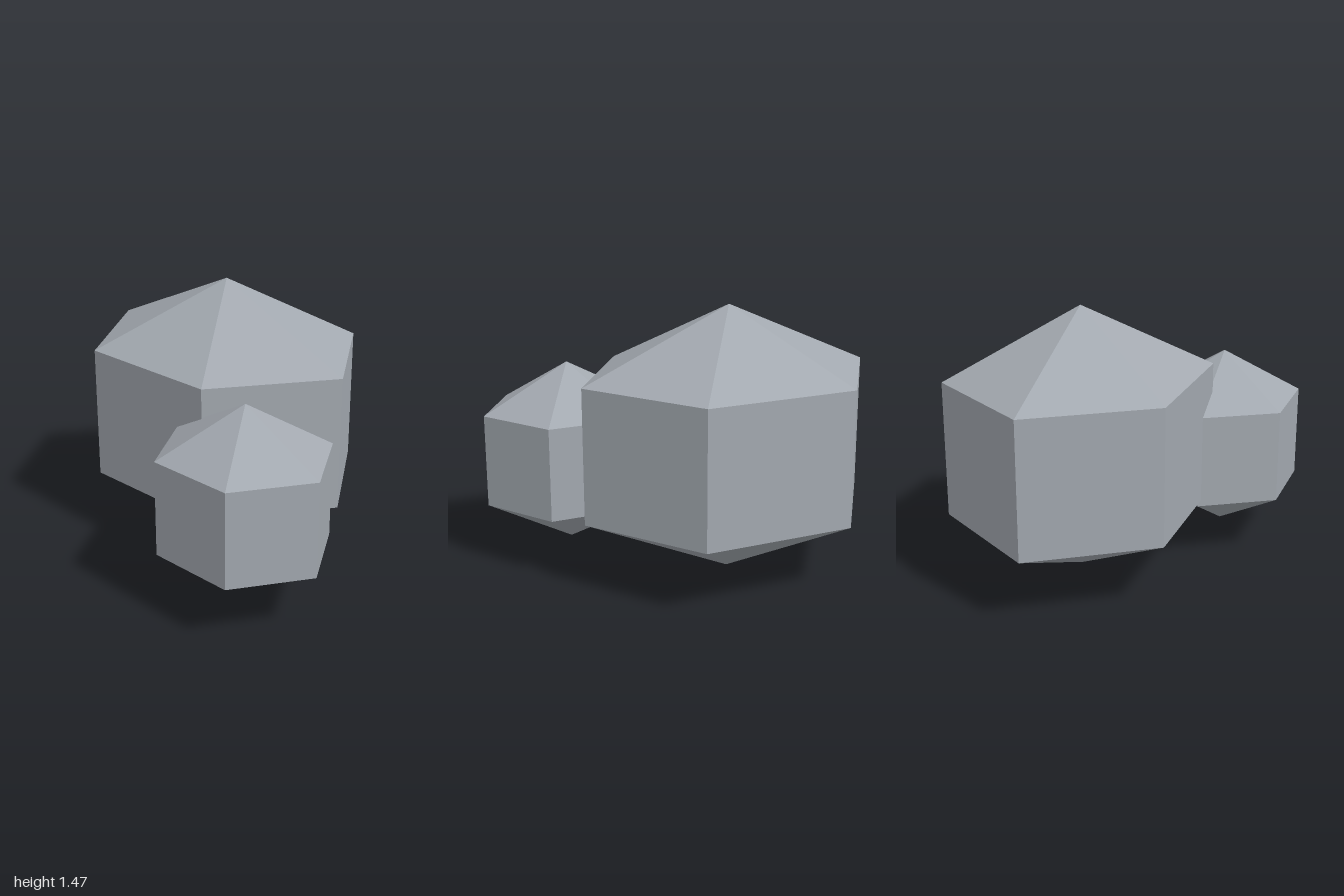
import * as THREE from 'three';

const crystalGrey = new THREE.MeshStandardMaterial({ color: 0xa3a9b0, flatShading: true });
crystalGrey.name = 'crystalGrey';

// Six-sided crystal with a pointed top and bottom; y holds the four profile heights
function crystal(name, x, z, halfWidth, halfDepth, y) {
  const profile = [[0, y[0]], [halfWidth, y[1]], [halfWidth, y[2]], [0, y[3]]]
    .map(([r, h]) => new THREE.Vector2(r, h));
  const geometry = new THREE.LatheGeometry(profile, 6, Math.PI / 2);
  geometry.scale(1, 1, halfDepth / (halfWidth * Math.sin(Math.PI / 3)));
  const mesh = new THREE.Mesh(geometry, crystalGrey);
  mesh.name = name;
  mesh.position.set(x, 0, z);
  return mesh;
}

export function createModel() {
  const group = new THREE.Group();
  group.name = 'crystalCluster';
  group.add(
    crystal('largeCrystal', -0.176, -0.185, 0.824, 0.605, [0, 0.368, 1.102, 1.468]),
    crystal('smallCrystal', 0.523, 0.404, 0.477, 0.385, [0.078, 0.334, 0.845, 1.103])
  );
  return group;
}
